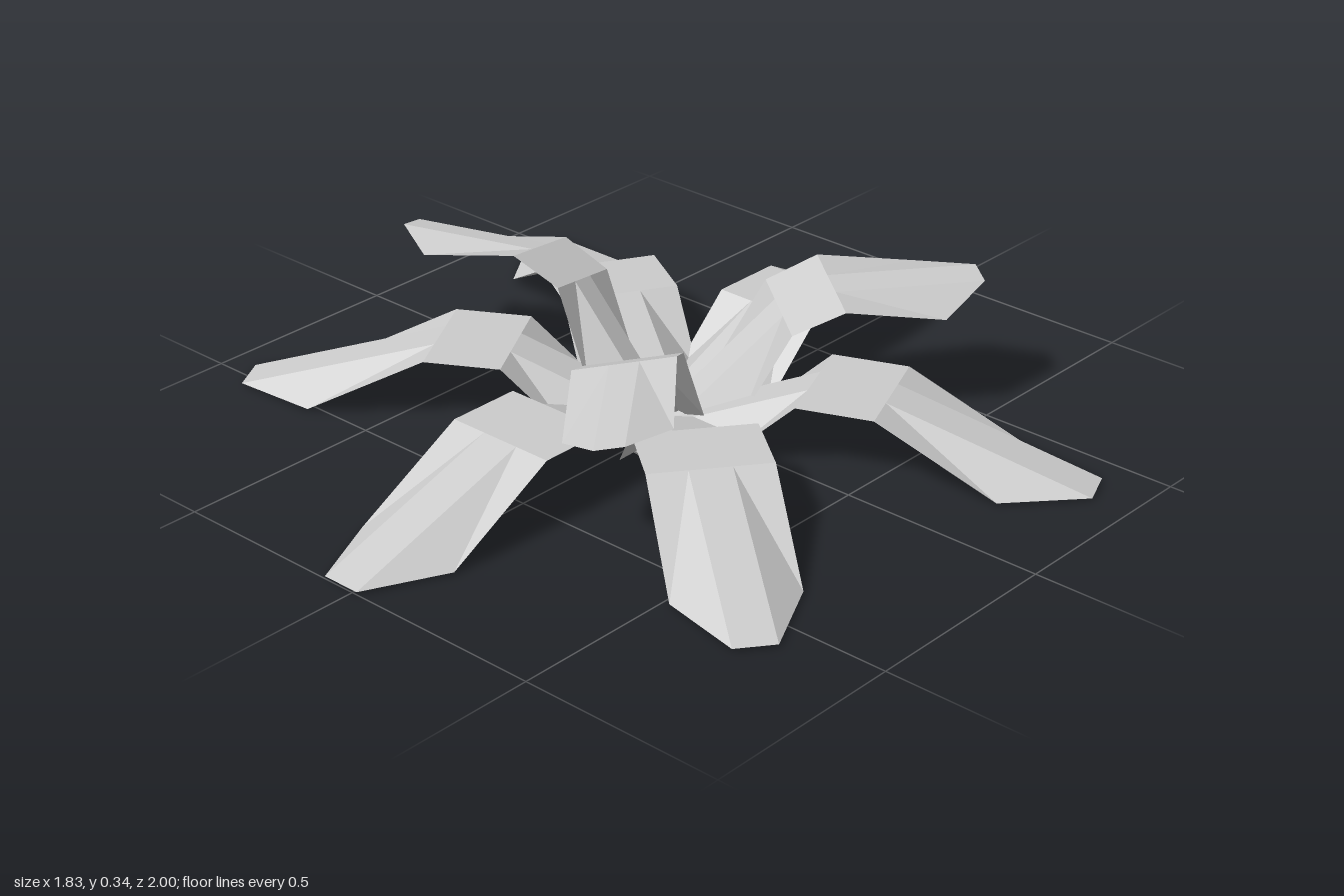
import * as THREE from 'three';

const material = new THREE.MeshStandardMaterial({ color: 0xcccccc, flatShading: true, side: THREE.DoubleSide });

// A bent leaf along +z: a narrow middle strip with a wider wing on each side.
// Each row is [half width, middle z, middle y, wing z, wing y].
function leafGeometry(strip, rows) {
  const positions = [];
  for (const [half, z, y, wingZ, wingY] of rows) {
    positions.push(-half, wingY, wingZ, -strip, y, z, strip, y, z, half, wingY, wingZ);
  }
  const index = [];
  for (let i = 0; i < rows.length - 1; i++) {
    for (let j = 0; j < 3; j++) {
      const a = i * 4 + j, b = a + 1, d = a + 4, c = d + 1;
      // The folds at both ends mirror each other
      if (i !== 1 && i + j === 2) index.push(a, d, b, b, d, c);
      else index.push(a, d, c, a, c, b);
    }
  }
  const geometry = new THREE.BufferGeometry();
  geometry.setAttribute('position', new THREE.Float32BufferAttribute(positions, 3));
  geometry.setIndex(index);
  geometry.computeVertexNormals();
  return geometry;
}

export function createModel() {
  const model = new THREE.Group();
  model.name = 'leafyPlant';

  const addLeaf = (name, geometry, yaw, pitch, roll) => {
    const leaf = new THREE.Mesh(geometry, material);
    leaf.name = name;
    leaf.position.x = -0.035;
    leaf.rotation.set(-pitch, THREE.MathUtils.degToRad(yaw), roll, 'YXZ');
    model.add(leaf);
  };

  // Large leaves, arching out and down to the ground
  const lowerLeaf = leafGeometry(0.048, [
    [0.14, 0, 0, 0.19, 0],
    [0.14, 0.35, 0.15, 0.35, 0.15],
    [0.14, 0.53, 0.15, 0.53, 0.15],
    [0.14, 1, 0, 0.81, 0],
  ]);
  [0, 52.4, 112.2, 180, -120, -60].forEach((yaw, i) => addLeaf(`lowerLeaf${i + 1}`, lowerLeaf, yaw, 0, 0));

  // Smaller leaves, raised and slightly rolled
  const upperLeaf = leafGeometry(0.033, [
    [0.11, 0, 0, 0.16, 0],
    [0.11, 0.335, 0.153, 0.335, 0.153],
    [0.115, 0.465, 0.153, 0.465, 0.153],
    [0.118, 0.785, 0, 0.665, 0.015],
  ]);
  [33, 141.9, -82.1].forEach((yaw, i) => addLeaf(`upperLeaf${i + 1}`, upperLeaf, yaw, 0.395, 0.2));

  return model;
}
